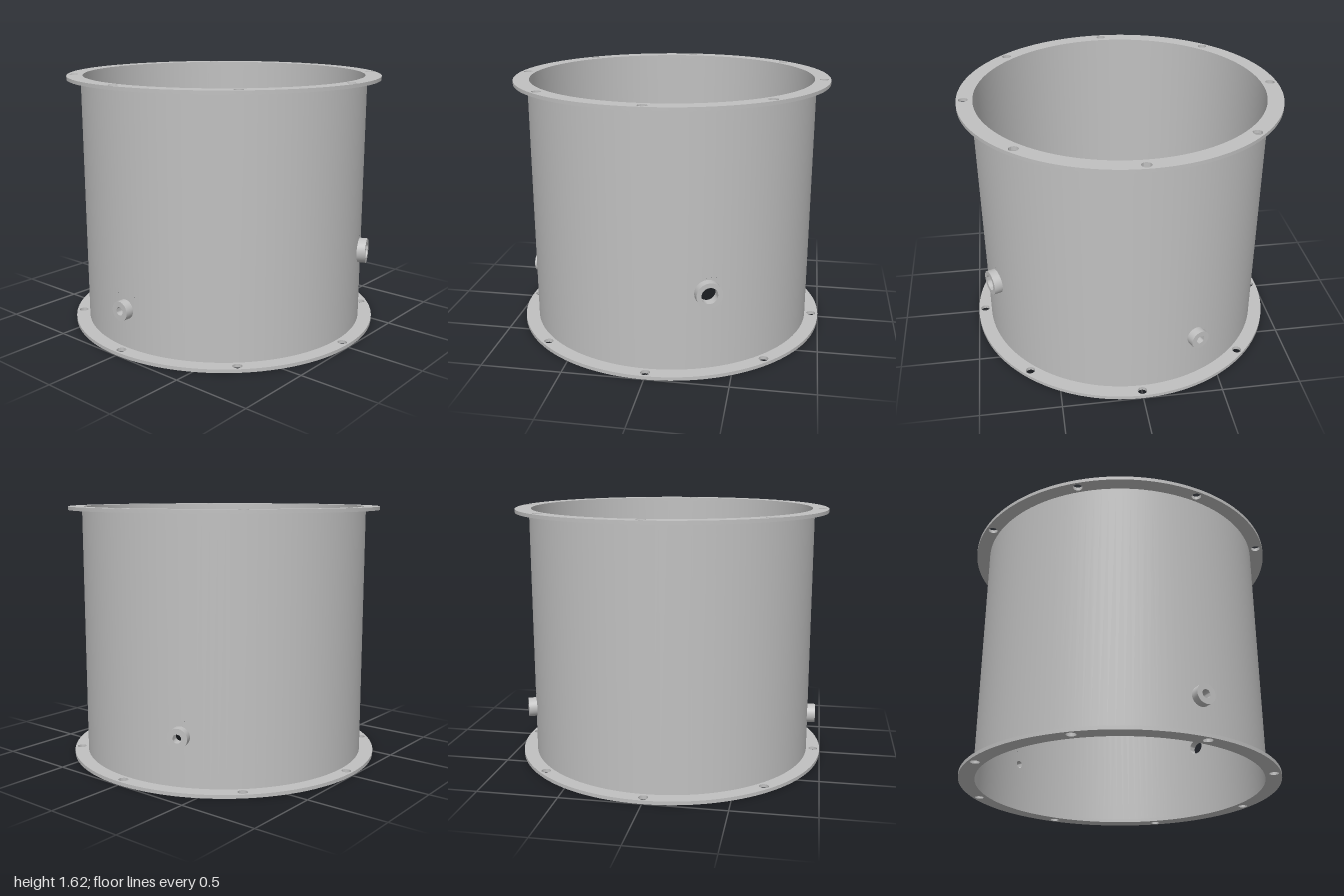
import * as THREE from 'three';
import { toCreasedNormals } from 'three/addons/utils/BufferGeometryUtils.js';

const HEIGHT = 1.615, FLANGE = 0.022;
const R_OUT = 0.912, R_IN = 0.9, R_FLANGE = 1, R_PORT = 0.962;
const COLS = 128, STEP = (Math.PI * 2) / COLS;
const PATCH = 0.09; // half height of the wall patch around a port

// col: wall column the port is centred on, counted from the front towards +x
const ports = [
  { name: 'frontPort', col: 0, y: 0.27, outer: 0.061, bore: 0.026 },
  { name: 'sidePort', col: 40, y: 0.51, outer: 0.079, bore: 0.05 },
  { name: 'backPort', col: 72, y: 0.326, outer: 0.061, bore: 0.026 },
];

// Flat ring with optional round holes, extruded along z
function ringGeometry(outer, inner, depth, segments, holes = []) {
  const shape = new THREE.Shape().absarc(0, 0, outer, 0, Math.PI * 2, false);
  for (const [x, y, r] of [[0, 0, inner], ...holes]) {
    shape.holes.push(new THREE.Path().absarc(x, y, r, 0, Math.PI * 2, true));
  }
  const geo = new THREE.ExtrudeGeometry(shape, { depth, bevelEnabled: false, curveSegments: segments });
  return toCreasedNormals(geo, 0.6);
}

// Cylindrical wall with a round opening at each port; side is 1 facing out, -1 facing in
function wallGeometry(R, side) {
  const pos = [], nor = [];
  const vertex = ([u, y]) => {
    pos.push(R * Math.sin(u), y, R * Math.cos(u));
    nor.push(side * Math.sin(u), 0, side * Math.cos(u));
  };
  const quad = (a, b, c, d) => {
    const order = side > 0 ? [a, b, c, a, c, d] : [a, c, b, a, d, c];
    order.forEach(vertex);
  };

  // Plain columns, interrupted where a port patch sits
  for (let i = 0; i < COLS; i++) {
    const u0 = i * STEP, u1 = u0 + STEP;
    const port = ports.find((p) => (i - p.col + 2 + COLS) % COLS < 4);
    const spans = port
      ? [[FLANGE, port.y - PATCH], [port.y + PATCH, HEIGHT - FLANGE]]
      : [[FLANGE, HEIGHT - FLANGE]];
    for (const [y0, y1] of spans) quad([u0, y0], [u1, y0], [u1, y1], [u0, y1]);
  }

  // Patches blending from a square edge to the round opening
  const N = 32, RINGS = 3;
  for (const p of ports) {
    const point = (i, k) => {
      const c = Math.cos((i / N) * Math.PI * 2), s = Math.sin((i / N) * Math.PI * 2);
      const m = Math.max(Math.abs(c), Math.abs(s)), t = k / RINGS;
      const u = THREE.MathUtils.lerp(Math.asin((p.bore * c) / R), (2 * STEP * c) / m, t);
      const y = THREE.MathUtils.lerp(p.bore * s, (PATCH * s) / m, t);
      return [p.col * STEP + u, p.y + y];
    };
    for (let i = 0; i < N; i++) {
      for (let k = 0; k < RINGS; k++) {
        quad(point(i, k), point(i, k + 1), point(i + 1, k + 1), point(i + 1, k));
      }
    }
  }

  const geo = new THREE.BufferGeometry();
  geo.setAttribute('position', new THREE.Float32BufferAttribute(pos, 3));
  geo.setAttribute('normal', new THREE.Float32BufferAttribute(nor, 3));
  return geo;
}

export function createModel() {
  const model = new THREE.Group();
  model.name = 'flangedPipeSection';
  const steel = new THREE.MeshStandardMaterial({ color: 0xc0c0c0 });
  steel.name = 'steelGrey';

  const add = (name, geo) => {
    const mesh = new THREE.Mesh(geo, steel);
    mesh.name = name;
    model.add(mesh);
    return mesh;
  };

  // Thin cylindrical shell
  add('outerWall', wallGeometry(R_OUT, 1));
  add('innerWall', wallGeometry(R_IN, -1));

  // Flanges with eight bolt holes each
  const bolts = [];
  for (let i = 0; i < 8; i++) {
    const a = (i * Math.PI) / 4;
    bolts.push([0.957 * Math.cos(a), 0.957 * Math.sin(a), 0.029]);
  }
  const flange = ringGeometry(R_FLANGE, R_IN, FLANGE, COLS / 2, bolts).rotateX(-Math.PI / 2);
  add('bottomFlange', flange);
  add('topFlange', flange).position.y = HEIGHT - FLANGE;

  // Short open sockets pointing out of the wall
  for (const p of ports) {
    const base = 0.903;
    const geo = ringGeometry(p.outer, p.bore, R_PORT - base, 16).translate(0, 0, base);
    const socket = add(p.name, geo);
    socket.rotation.y = p.col * STEP;
    socket.position.y = p.y;
  }
  return model;
}
